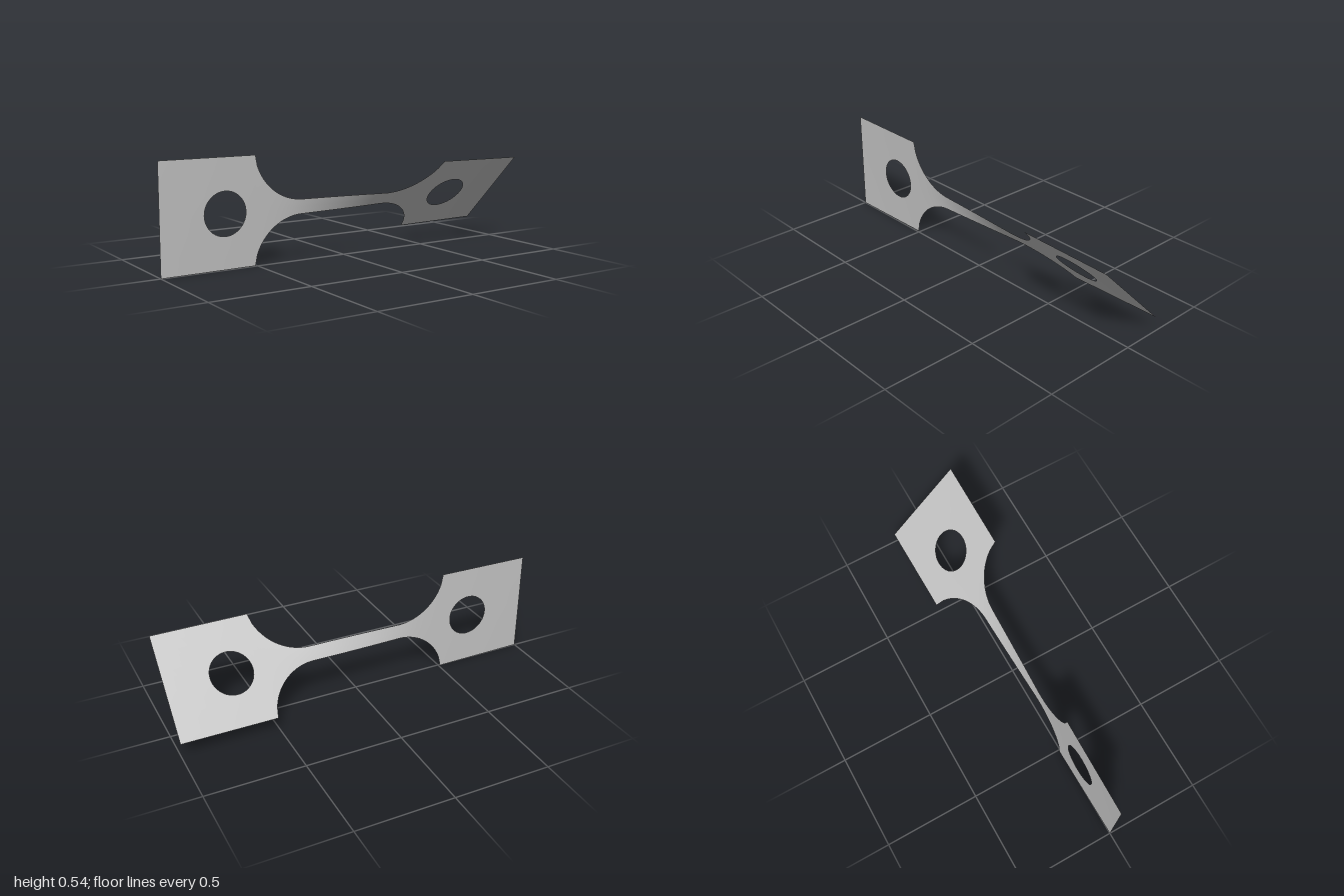
import * as THREE from 'three';
import { mergeVertices } from 'three/addons/utils/BufferGeometryUtils.js';

const HALF = 0.271, NECK = 0.038;          // half heights of tab and neck
const TAB_X = 0.508, NECK_X = 0.245;       // where the fillet starts and ends
const FILLET = 0.267, HOLE_X = 0.668, HOLE_R = 0.109;
const TWIST = THREE.MathUtils.degToRad(45);

// Outline half height along the strip: tab, round fillet, neck
function halfHeight(x) {
  const a = Math.abs(x);
  if (a >= TAB_X) return HALF;
  if (a <= NECK_X) return NECK;
  return Math.min(HALF, NECK + FILLET - Math.sqrt(FILLET ** 2 - (a - NECK_X) ** 2));
}

// Half height of the round hole at x
function holeHeight(x) {
  const d = Math.abs(x) - HOLE_X;
  return Math.sqrt(Math.max(0, HOLE_R ** 2 - d * d));
}

// Column positions, denser around the hole
function columns() {
  const side = [];
  const span = (a, b, n) => { for (let i = 0; i < n; i++) side.push(a + (b - a) * i / n); };
  span(0, NECK_X, 14);
  span(NECK_X, TAB_X, 24);
  span(TAB_X, HOLE_X - HOLE_R, 2);
  for (let i = 0; i < 32; i++) side.push(HOLE_X - HOLE_R * Math.cos(Math.PI * i / 32));
  span(HOLE_X + HOLE_R, 1, 4);
  side.push(1);
  return [...side.slice(1).reverse().map((x) => -x), ...side];
}

// Twist gathers where the strip is narrow
function twistAngles(xs) {
  const sum = [0];
  for (let i = 1; i < xs.length; i++) {
    const h = halfHeight((xs[i] + xs[i - 1]) / 2);
    sum.push(sum[i - 1] + (xs[i] - xs[i - 1]) / h ** 1.5);
  }
  return sum.map((s) => TWIST * s / sum[sum.length - 1]);
}

function twistedSheet() {
  const xs = columns(), angles = twistAngles(xs), rows = 3;
  const positions = [], index = [];
  for (const side of [1, -1]) {            // upper and lower half
    const base = positions.length / 3;
    xs.forEach((x, i) => {
      const inner = holeHeight(x), outer = halfHeight(x);
      for (let r = 0; r <= rows; r++) {
        const v = side * (inner + (outer - inner) * r / rows);
        positions.push(x, HALF + v * Math.cos(angles[i]), v * Math.sin(angles[i]));
      }
    });
    for (let i = 0; i < xs.length - 1; i++) {
      for (let r = 0; r < rows; r++) {
        const a = base + i * (rows + 1) + r, b = a + rows + 1;
        if (side > 0) index.push(a, b, b + 1, a, b + 1, a + 1);
        else index.push(a, b + 1, b, a, a + 1, b + 1);
      }
    }
  }
  const geometry = new THREE.BufferGeometry();
  geometry.setAttribute('position', new THREE.Float32BufferAttribute(positions, 3));
  geometry.setIndex(index);
  const merged = mergeVertices(geometry, 1e-5);
  merged.computeVertexNormals();
  return merged;
}

export function createModel() {
  const group = new THREE.Group();
  group.name = 'twistedLink';
  const metal = new THREE.MeshStandardMaterial({ color: 0xc4c4c4, side: THREE.DoubleSide });
  metal.name = 'light grey metal';
  const strip = new THREE.Mesh(twistedSheet(), metal);
  strip.name = 'twistedStrip';
  group.add(strip);
  return group;
}
